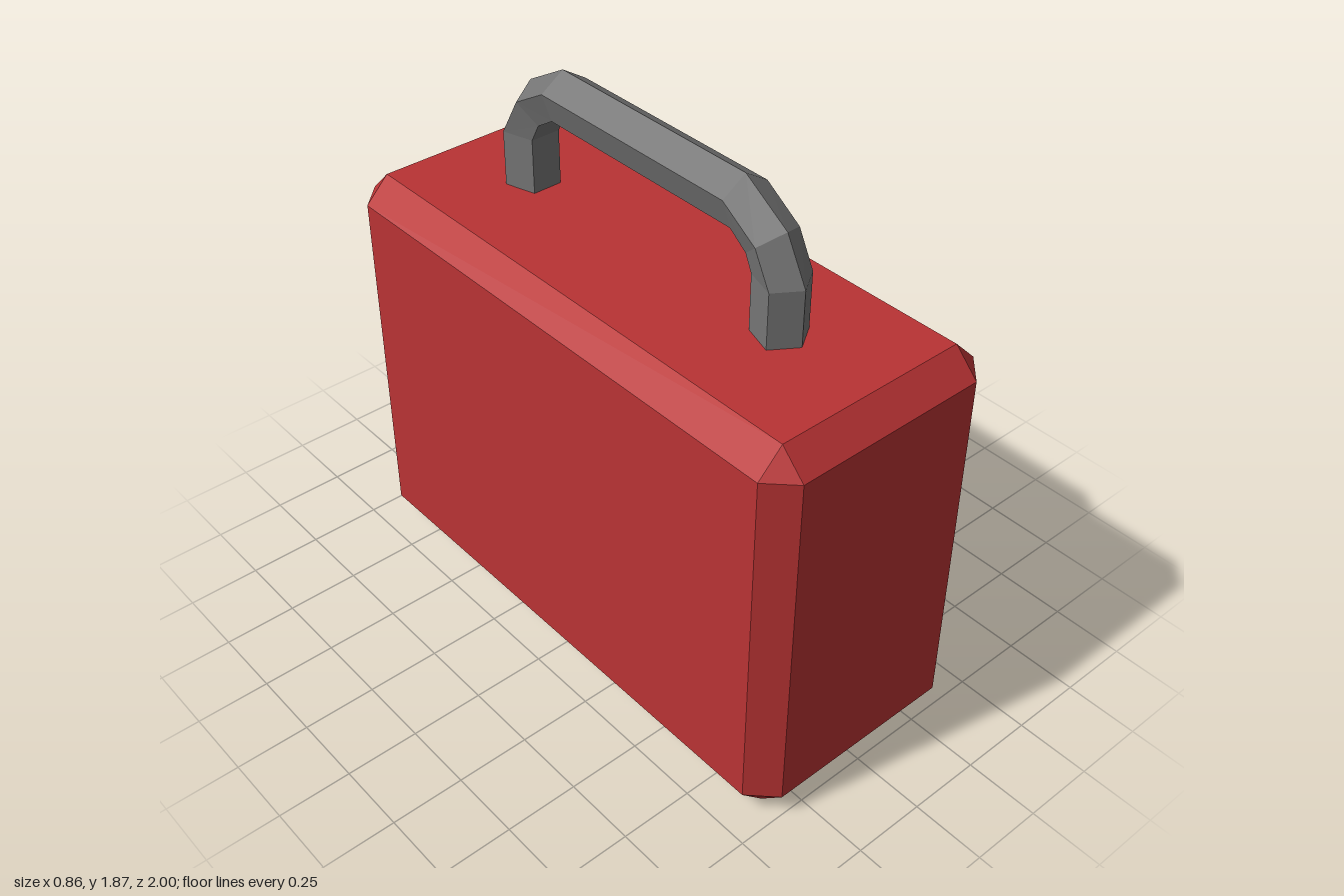
import * as THREE from 'three';
import { ConvexGeometry } from 'three/addons/geometries/ConvexGeometry.js';

const material = (name, color, extra = {}) => {
  const m = new THREE.MeshStandardMaterial({ color, ...extra });
  m.name = name;
  return m;
};

const part = (name, geometry, mat) => {
  const mesh = new THREE.Mesh(geometry, mat);
  mesh.name = name;
  return mesh;
};

// Box with all twelve edges bevelled: three points near each corner
function chamferedBox(hx, hy, hz, c) {
  const points = [];
  for (const x of [-1, 1]) for (const y of [-1, 1]) for (const z of [-1, 1]) {
    points.push(
      new THREE.Vector3(x * hx, y * (hy - c), z * (hz - c)),
      new THREE.Vector3(x * (hx - c), y * hy, z * (hz - c)),
      new THREE.Vector3(x * (hx - c), y * (hy - c), z * hz));
  }
  return new ConvexGeometry(points);
}

// Five-sided bar swept along the handle, between its outer and inner edge lines
function handleGeometry() {
  // outer z, outer y, inner z, inner y
  const stations = [
    [0.645, 1.36, 0.485, 1.36], [0.645, 1.6, 0.485, 1.6],
    [0.565, 1.75, 0.46, 1.655], [0.395, 1.86, 0.395, 1.705],
    [-0.405, 1.865, -0.4, 1.71], [-0.57, 1.77, -0.47, 1.665],
    [-0.67, 1.6, -0.505, 1.6], [-0.67, 1.36, -0.505, 1.36],
  ];
  // x, and fraction of the way from outer to inner edge
  const section = [[0, 0], [0.085, 0.353], [0.053, 1], [-0.053, 1], [-0.085, 0.353]];
  const rings = stations.map(([oz, oy, iz, iy]) => section.map(([x, t]) =>
    new THREE.Vector3(x, oy + (iy - oy) * t, oz + (iz - oz) * t)));
  const points = [];
  for (let i = 0; i < rings.length - 1; i++) {
    for (let j = 0; j < 5; j++) {
      const k = (j + 1) % 5;
      const [a, b, c, d] = [rings[i][j], rings[i][k], rings[i + 1][k], rings[i + 1][j]];
      points.push(a, b, c, a, c, d);
    }
  }
  const g = new THREE.BufferGeometry().setFromPoints(points);
  g.computeVertexNormals();
  return g;
}

// Soft hand-drawn cross outline, shrunk by an inset
function crossGeometry(inset) {
  const outline = [
    [-0.33, 0.905], [-0.14, 0.89], [-0.1, 0.945], [-0.093, 1.04], [-0.065, 1.125],
    [0.032, 1.18], [0.132, 1.125], [0.166, 1.03], [0.178, 0.92], [0.225, 0.885],
    [0.42, 0.872], [0.5, 0.828], [0.525, 0.755], [0.493, 0.675], [0.41, 0.632],
    [0.235, 0.648], [0.178, 0.595], [0.172, 0.345], [0.134, 0.258],
    [0.032, 0.22], [-0.07, 0.258], [-0.107, 0.345], [-0.107, 0.585], [-0.145, 0.635],
    [-0.33, 0.655], [-0.445, 0.695], [-0.49, 0.777], [-0.445, 0.862],
  ].map(([u, v]) => new THREE.Vector3(u, v, 0));
  const curve = new THREE.CatmullRomCurve3(outline, true);
  const points = [];
  for (let i = 0; i < 112; i++) {
    const p = curve.getPoint(i / 112), t = curve.getTangent(i / 112);
    points.push(new THREE.Vector2(p.x + t.y * inset, p.y - t.x * inset));
  }
  return new THREE.ShapeGeometry(new THREE.Shape(points));
}

export function createModel() {
  const red = material('case red', 0xb93334, { flatShading: true });
  const grey = material('handle grey', 0x757575, { flatShading: true });
  const pink = material('cross border pink', 0xd09b9b);
  const white = material('cross white', 0xdbd7d5);

  const group = new THREE.Group();
  group.name = 'firstAidCase';

  // Case
  const body = part('caseBody', chamferedBox(0.425, 0.705, 1, 0.085), red);
  body.position.y = 0.705;
  group.add(body);

  // Carrying handle
  group.add(part('handle', handleGeometry(), grey));

  // Cross on the left side only
  const border = part('crossBorder', crossGeometry(0), pink);
  const cross = part('cross', crossGeometry(0.031), white);
  [border, cross].forEach((mesh, i) => {
    mesh.rotation.y = Math.PI / 2;
    mesh.position.x = 0.428 + i * 0.003;
    group.add(mesh);
  });

  return group;
}
